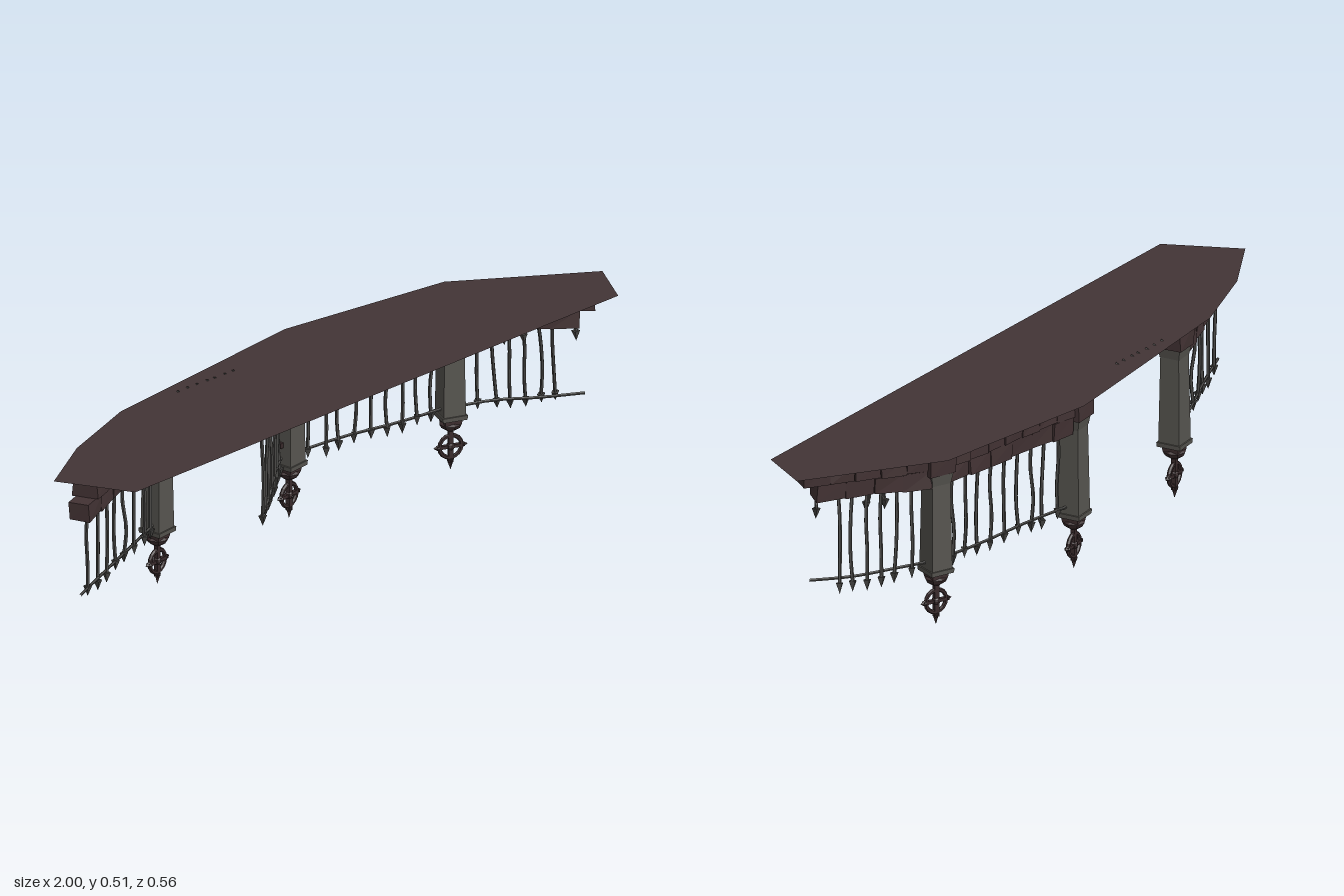
import * as THREE from 'three';

const mat = (name, color, extra = {}) => {
  const m = new THREE.MeshStandardMaterial({ color, flatShading: true, ...extra });
  m.name = name;
  return m;
};

// small seeded random, centred on zero
let seed = 7;
const rnd = () => {
  seed = (seed * 16807) % 2147483647;
  return seed / 2147483647 - 0.5;
};

export function createModel() {
  const root = new THREE.Group();
  root.name = 'hangingFence';
  const ground = mat('groundBrown', 0x433536, { side: THREE.DoubleSide });
  const brickMat = mat('brickBrown', 0x423233);
  const stone = mat('stoneGrey', 0x56544f);
  const iron = mat('ironGrey', 0x484745);
  const darkIron = mat('finialBrown', 0x382a2b);

  const add = (parent, name, geo, material, x = 0, y = 0, z = 0) => {
    const m = new THREE.Mesh(geo, material);
    m.name = name;
    m.position.set(x, y, z);
    parent.add(m);
    return m;
  };
  const group = (name, parent = root) => {
    const g = new THREE.Group();
    g.name = name;
    parent.add(g);
    return g;
  };
  const V = (x, y, z) => new THREE.Vector3(x, y, z);

  // flat ground sheet on top
  const outline = [[-1, -0.13], [-0.79, -0.22], [-0.53, -0.28], [0.17, -0.28],
    [0.68, -0.145], [1, 0.14], [0.9, 0.275], [-0.92, 0.085]];
  const sheet = new THREE.ShapeGeometry(new THREE.Shape(outline.map(([x, z]) => new THREE.Vector2(x, -z))));
  add(root, 'groundSheet', sheet.rotateX(-Math.PI / 2), ground, 0, 0.508, 0);

  // rough brick: box corners shifted a little, shared corners moving together
  const brickGeo = (l, h, d) => {
    const g = new THREE.BoxGeometry(l, h, d);
    const p = g.attributes.position;
    const shift = {};
    for (let i = 0; i < p.count; i++) {
      const k = [p.getX(i), p.getY(i), p.getZ(i)].map(Math.sign).join();
      shift[k] ??= [rnd() * 0.005, rnd() * 0.006, rnd() * 0.008];
      const s = shift[k];
      p.setXYZ(i, p.getX(i) + s[0], p.getY(i) + (p.getY(i) > 0 ? 0 : s[1]), p.getZ(i) + s[2]);
    }
    g.computeVertexNormals();
    return g;
  };

  // two courses of bricks; each course has its own start and end in metres along the wall
  const wall = (name, a, b, courses) => {
    const g = group(name);
    const dir = b.clone().sub(a);
    const len = dir.length();
    g.position.copy(a);
    g.rotation.y = -Math.atan2(dir.z, dir.x);
    courses.forEach(([s, e, n, y, depth]) => {
      const w = (len + e - s) / n;
      for (let i = 0; i < n; i++) {
        add(g, 'brick', brickGeo(w - 0.001, 0.049, depth), brickMat,
          s + w * (i + 0.5), y + rnd() * 0.002, rnd() * 0.006);
      }
    });
  };

  // bent iron bar with a spear head at its lower end
  const tube = (pts, r, sides = 5) =>
    new THREE.TubeGeometry(new THREE.CatmullRomCurve3(pts), 8, r, sides);
  const picket = (parent, top, tip) => {
    const g = group('picket', parent);
    const dir = tip.clone().sub(top).normalize();
    const neck = tip.clone().addScaledVector(dir, -0.026);
    const mid = (t) => top.clone().lerp(neck, t).add(V(rnd() * 0.011, 0, rnd() * 0.011));
    add(g, 'bar', tube([top, mid(0.33), mid(0.7), neck], 0.0052), iron);
    const head = add(g, 'spearHead', new THREE.ConeGeometry(0.012, 0.03, 4), iron);
    head.position.copy(tip).addScaledVector(dir, -0.015);
    head.quaternion.setFromUnitVectors(V(0, 1, 0), dir);
  };

  // run of pickets under a wall, with one rail; lean shifts the lower ends
  const fence = (name, a, b, n, lean, rail) => {
    const g = group(name);
    for (let i = 0; i < n; i++) {
      const t = (i + 0.5) / n;
      const top = a.clone().lerp(b, t).setY(0.425);
      const tip = top.clone().addScaledVector(lean, 0.6 + 0.6 * t)
        .add(V(rnd() * 0.012, 0, rnd() * 0.012)).setY(0.153 + rnd() * 0.015);
      picket(g, top, tip);
    }
    add(g, 'rail', tube(rail, 0.0042), iron);
    return g;
  };

  const postL = V(0.62, 0, -0.075), postM = V(0.1, 0, -0.21), postR = V(-0.46, 0, -0.21);
  const endL = V(0.895, 0, 0.18), endR = V(-0.97, 0, -0.06);

  const HI = 0.482, LO = 0.433;
  wall('leftWall', postL, endL, [[0.02, 0.01, 5, HI, 0.075], [0.02, -0.03, 4, LO, 0.065]]);
  wall('middleWall', postM, postL, [[0.03, -0.03, 7, HI, 0.07], [0.03, -0.02, 6, LO, 0.06]]);
  wall('rightWall', endR, postR, [[0.03, -0.03, 7, HI, 0.07], [-0.015, -0.04, 6, LO, 0.06]]);

  const yr = 0.185;
  const left = fence('leftFence', V(0.655, 0, -0.04), V(0.84, 0, 0.125), 6, V(0.055, 0, -0.03),
    [V(0.62, yr - 0.002, -0.07), V(0.72, yr + 0.001, -0.01), V(0.82, yr - 0.003, 0.07), V(0.91, yr + 0.002, 0.152)]);
  // broken stubs
  [[0.87, 0.15], [0.765, 0.055], [0.725, 0.02]].forEach(([x, z]) =>
    picket(left, V(x, 0.42, z), V(x + 0.004, 0.352, z + 0.002)));
  fence('middleFence', V(0.135, 0, -0.2), V(0.585, 0, -0.085), 9, V(0.006, 0, 0),
    [postM.clone().setY(yr), V(0.28, yr + 0.004, -0.165), V(0.45, yr - 0.002, -0.12), postL.clone().setY(yr)]);
  fence('rightFence', V(-0.95, 0, -0.067), V(-0.48, 0, -0.203), 8, V(0.004, 0, 0),
    [V(-0.975, yr, -0.06), V(-0.8, yr + 0.002, -0.11), V(-0.62, yr - 0.003, -0.165), postR.clone().setY(yr)]);

  // square section profile for the stone shaft: four-sided cylinder turned to face front
  const square = (wTop, wBottom, h) =>
    new THREE.CylinderGeometry(wTop * Math.SQRT1_2, wBottom * Math.SQRT1_2, h, 4).rotateY(Math.PI / 4);

  const post = (name, at, turn) => {
    const g = group(name);
    g.position.copy(at);
    g.rotation.y = turn;
    add(g, 'capBlock', brickGeo(0.08, 0.066, 0.08), brickMat, 0, 0.474, 0);
    add(g, 'shaftTop', square(0.068, 0.058, 0.03), stone, 0, 0.427, 0);
    add(g, 'shaft', square(0.056, 0.064, 0.25), stone, 0, 0.288, 0);
    add(g, 'footSlab', square(0.072, 0.07, 0.013), stone, 0, 0.16, 0);
    add(g, 'neck', square(0.052, 0.046, 0.018), brickMat, 0, 0.146, 0);
    const cup = [[0, 0.114], [0.014, 0.117], [0.027, 0.126], [0.032, 0.136], [0.025, 0.141], [0, 0.141]];
    add(g, 'cup', new THREE.LatheGeometry(cup.map(([r, y]) => new THREE.Vector2(r, y)), 8), darkIron);
    // ringed cross finial
    const f = group('finial', g);
    f.position.y = 0.068;
    add(f, 'ring', new THREE.TorusGeometry(0.032, 0.0062, 6, 16), darkIron);
    add(f, 'boss', new THREE.SphereGeometry(0.012, 8, 6), darkIron);
    add(f, 'stem', new THREE.BoxGeometry(0.013, 0.1, 0.013), darkIron, 0, 0.005, 0);
    add(f, 'crossBar', new THREE.BoxGeometry(0.08, 0.009, 0.011), darkIron);
    for (const s of [-1, 1]) {
      const tip = add(f, 'sidePoint', new THREE.ConeGeometry(0.01, 0.016, 4), darkIron, s * 0.042, 0, 0);
      tip.rotation.z = -s * Math.PI / 2;
    }
    const spike = add(f, 'lowerPoint', new THREE.ConeGeometry(0.012, 0.034, 4), darkIron, 0, -0.051, 0);
    spike.rotation.z = Math.PI;
  };
  post('leftPost', postL, -0.5);
  post('middlePost', postM, 0);
  post('rightPost', postR, 0);

  // open gate swung forward from the middle post
  const gate = group('openGate');
  const hinge = V(0.065, 0, -0.21), free = V(-0.14, 0, -0.108);
  const onGate = (t, y) => hinge.clone().lerp(free, t).setY(y);
  for (let i = 0; i < 7; i++) {
    const t = 0.08 + i * 0.152;
    picket(gate, onGate(t, 0.468), onGate(t - 0.02, 0.135 - 0.045 * t + rnd() * 0.02));
  }
  add(gate, 'upperRail', tube([onGate(-0.05, 0.447), onGate(0.5, 0.45), onGate(1.02, 0.446)], 0.0045), iron);
  add(gate, 'middleRail', tube([onGate(-0.05, 0.367), onGate(0.5, 0.369), onGate(1.02, 0.366)], 0.0045), iron);
  add(gate, 'lowerRail', tube([onGate(-0.05, 0.185), onGate(0.3, 0.175), onGate(0.65, 0.135), onGate(1, 0.12)], 0.0045), iron);
  for (const y of [0.405, 0.225]) {
    add(gate, 'hingePin', new THREE.BoxGeometry(0.02, 0.014, 0.014), darkIron, 0.066, y, -0.21);
  }

  // fallen gate lying flat against the sheet
  const fallen = group('fallenGate');
  fallen.position.set(-0.25, 0.5, -0.1);
  fallen.rotation.y = -0.15;
  for (let i = 0; i < 7; i++) {
    const x = -0.1 + i * 0.034;
    picket(fallen, V(x, 0, 0.15), V(x + rnd() * 0.01, 0, -0.16 + rnd() * 0.012));
  }
  for (const z of [0.13, 0.06, -0.11]) {
    add(fallen, 'rail', tube([V(-0.12, 0, z), V(0, 0.001, z + 0.003), V(0.122, 0, z)], 0.0045), iron);
  }
  return root;
}
